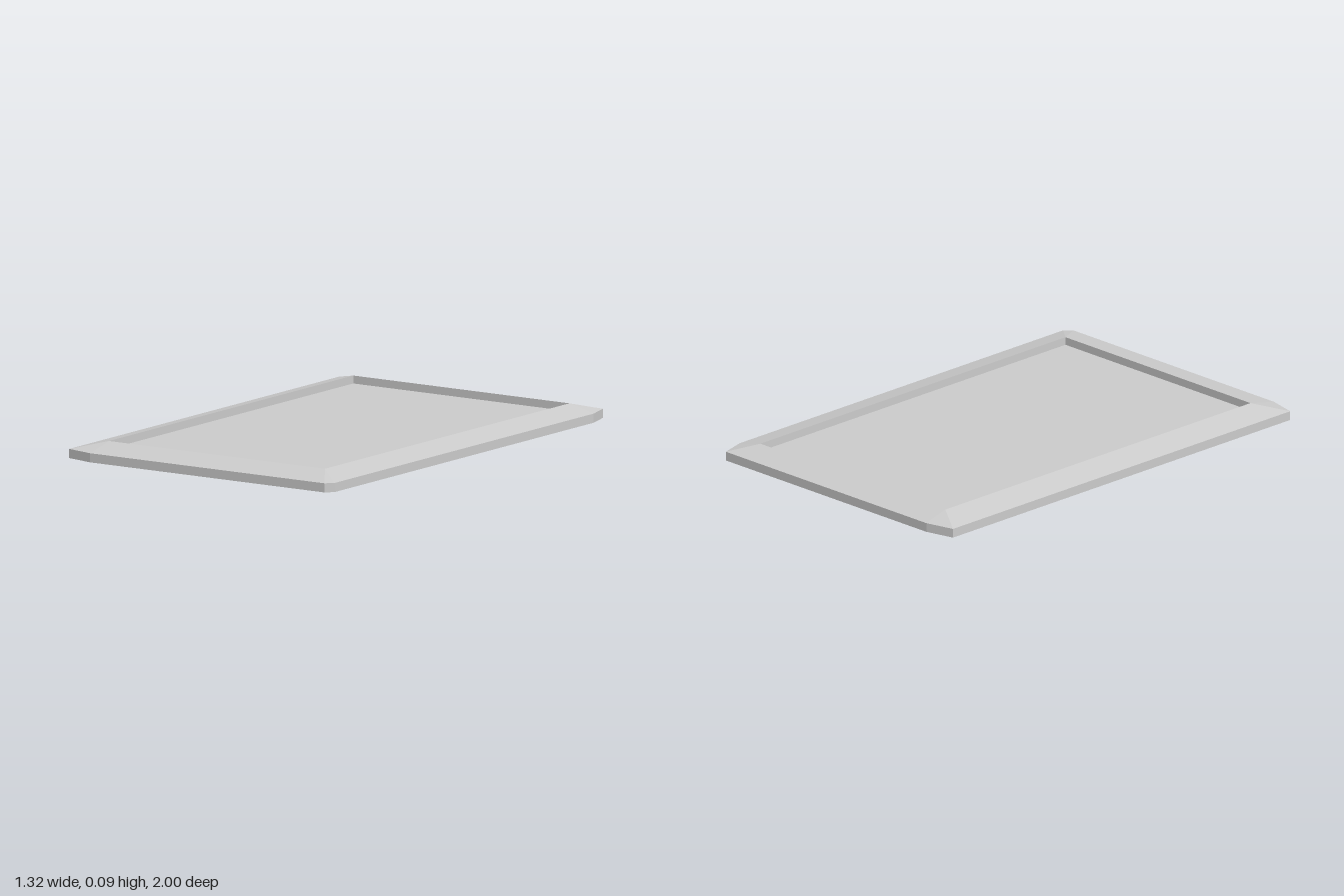
import * as THREE from 'three';

// Outer edge as [x, z], two points per cut corner
const OUTLINE = [
  [-0.66, -0.97], [-0.535, -1], [0.63, -1], [0.66, -0.89],
  [0.66, 0.97], [0.63, 1], [-0.535, 1], [-0.66, 0.97],
];

// Rectangle with each corner doubled so it pairs with the outline
function rectangle(x0, x1, z0, z1) {
  return [[x0, z0], [x1, z0], [x1, z1], [x0, z1]].flatMap((p) => [p, p]);
}

const ring = (points, y) => points.map(([x, z]) => new THREE.Vector3(x, y, z));

// Joins successive rings with flat faces, skipping collapsed triangles
function loft(rings) {
  const out = [];
  const add = (a, b, c) => {
    if (new THREE.Triangle(a, b, c).getArea() < 1e-7) return;
    for (const v of [a, b, c]) out.push(v.x, v.y, v.z);
  };
  for (let r = 0; r < rings.length - 1; r++) {
    const a = rings[r], b = rings[r + 1];
    for (let i = 0; i < a.length; i++) {
      const j = (i + 1) % a.length;
      add(a[i], b[i], b[j]);
      add(a[i], b[j], a[j]);
    }
  }
  const geometry = new THREE.BufferGeometry();
  geometry.setAttribute('position', new THREE.Float32BufferAttribute(out, 3));
  geometry.computeVertexNormals();
  return geometry;
}

export function createModel() {
  const group = new THREE.Group();
  group.name = 'framedTray';
  const material = new THREE.MeshStandardMaterial({ color: 0xcccccc, flatShading: true });
  const floorY = 0.057;
  const opening = rectangle(-0.535, 0.54, -0.89, 0.865);
  const base = rectangle(-0.525, 0.54, -0.885, 0.87);

  // Bevelled frame: underside slope, edge band, top slope, inner wall
  const frame = new THREE.Mesh(loft([
    ring(base, 0), ring(OUTLINE, 0.022), ring(OUTLINE, 0.06),
    ring(opening, 0.09), ring(opening, floorY),
  ]), material);
  frame.name = 'bevelledFrame';
  group.add(frame);

  // Flat sheets closing the recess and the underside
  const sheet = (name, points, y, facing) => {
    const [x0, z0] = points[0], [x1, z1] = points[4];
    const mesh = new THREE.Mesh(new THREE.PlaneGeometry(x1 - x0, z1 - z0), material);
    mesh.rotation.x = -facing * Math.PI / 2;
    mesh.position.set((x0 + x1) / 2, y, (z0 + z1) / 2);
    mesh.name = name;
    group.add(mesh);
  };
  sheet('recessedPanel', opening, floorY, 1);
  sheet('underside', base, 0, -1);

  return group;
}
